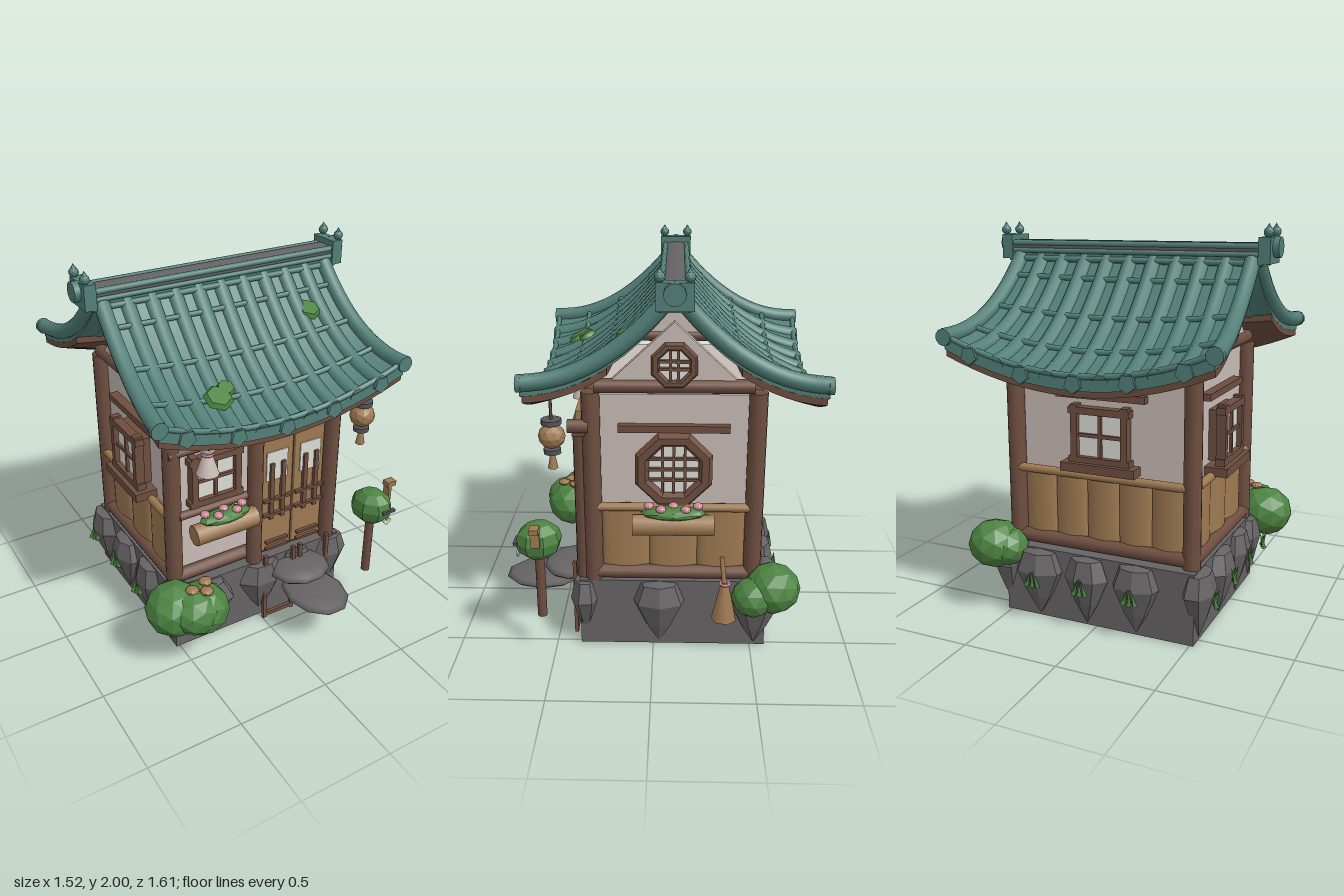
import * as THREE from 'three';

const mat = (name, color) => new THREE.MeshStandardMaterial({ name, color, side: THREE.DoubleSide });
const tile = mat('teal tile', 0x527f77), wood = mat('dark wood', 0x6e4e40), tan = mat('light wood', 0x9e7a52),
  plaster = mat('plaster', 0xc9bcb6), stone = mat('stone', 0x666364), leaf = mat('leaf green', 0x4c8341),
  pink = mat('pink', 0xd08a96), pale = mat('pale glass', 0xdcdcd6), metal = mat('dark metal', 0x55555a);

// Flat-sided version of a geometry
function facet(geo) {
  const g = geo.index ? geo.toNonIndexed() : geo;
  g.computeVertexNormals();
  return g;
}
function add(parent, name, geo, material, x = 0, y = 0, z = 0, rx = 0, ry = 0, rz = 0) {
  const m = new THREE.Mesh(geo, material);
  m.name = name;
  m.position.set(x, y, z);
  m.rotation.set(rx, ry, rz);
  parent.add(m);
  return m;
}
const box = (p, name, m, w, h, d, x, y, z, rz = 0) => add(p, name, new THREE.BoxGeometry(w, h, d), m, x, y, z, 0, 0, rz);
const ball = (p, name, m, r, x, y, z, sy = 1) => {
  const b = add(p, name, facet(new THREE.IcosahedronGeometry(r, 1)), m, x, y, z);
  b.scale.y = sy;
  return b;
};
const cyl = (p, name, m, r0, r1, h, x, y, z, n = 12, rx = 0, rz = 0) =>
  add(p, name, new THREE.CylinderGeometry(r0, r1, h, n), m, x, y, z, rx, 0, rz);
const beam = (p, name, m, r, len, x, y, z) => cyl(p, name, m, r, r, len, x, y, z, 12, 0, Math.PI / 2);
function group(parent, name, x = 0, y = 0, z = 0, ry = 0) {
  const g = new THREE.Group();
  g.name = name;
  g.position.set(x, y, z);
  g.rotation.y = ry;
  parent.add(g);
  return g;
}

// Roof surface: u runs along the ridge (-1..1), s from ridge to eave (0..1)
function roofPoint(u, s, lift = 0) {
  const y = 1.462 + 0.385 * (1 - s) ** 2.1 - 0.15 * s ** 1.5 * (1 - u * u);
  return new THREE.Vector3(u * (0.635 + 0.045 * s * s), y + lift, 0.02 + 0.655 * s + 0.022 * s * u * u);
}
function roofSlab(top, bottom, s0, s1) {
  const g = new THREE.BoxGeometry(2, 1, 1, 20, 1, 10), p = g.attributes.position;
  for (let i = 0; i < p.count; i++) {
    const v = roofPoint(p.getX(i), s0 + (p.getZ(i) + 0.5) * (s1 - s0), p.getY(i) > 0 ? top : bottom);
    p.setXYZ(i, v.x, v.y, v.z);
  }
  g.computeVertexNormals();
  return g;
}
function roofTube(f, n, r, sides) {
  const pts = Array.from({ length: n + 1 }, (_, i) => f(i / n));
  return new THREE.TubeGeometry(new THREE.CatmullRomCurve3(pts), n * 2, r, sides);
}
function roofSlope(parent, name, ry) {
  const g = group(parent, name, 0, 0, -0.1, ry);
  add(g, 'tileBed', roofSlab(0, -0.055, 0, 1), tile);
  add(g, 'roofBoards', roofSlab(-0.055, -0.088, 0.42, 0.985), wood);
  for (let i = -4; i <= 4; i++) {
    const u = i / 5;
    add(g, 'tileRib', roofTube(s => roofPoint(u, s, -0.014), 8, 0.041, 10), tile);
    if (i % 2 === 0)
      add(g, 'ribCap', new THREE.CylinderGeometry(0.045, 0.045, 0.03, 5), tile, ...roofPoint(u, 1, -0.022).toArray(), Math.PI / 2, 0, 0);
  }
  for (const s of [0.18, 0.44, 0.72, 0.99])
    add(g, 'tileRow', roofTube(t => roofPoint(t * 2 - 1, s, 0.012), 12, 0.014, 8), tile);
  for (const u of [-1, 1]) {
    add(g, 'vergeTile', roofTube(s => roofPoint(u, s, 0.008), 8, 0.04, 10), tile);
    add(g, 'vergeEnd', new THREE.CylinderGeometry(0.042, 0.042, 0.025, 10), tile, ...roofPoint(u, 1, 0.005).toArray(), Math.PI / 2);
  }
}

// Square window with glass, frame and crossbars, facing local +z
function squareWindow(p, x, y, z, w, h) {
  const g = group(p, 'window', x, y, z);
  box(g, 'glass', pale, w, h, 0.008, 0, 0, 0.004);
  for (const s of [-1, 1]) {
    box(g, 'frameSide', wood, 0.035, h + 0.06, 0.05, s * w / 2, 0, 0.01);
    box(g, 'frameRail', wood, w + 0.06, 0.035, 0.05, 0, s * h / 2, 0.01);
  }
  box(g, 'mullion', wood, 0.018, h, 0.025, 0, 0, 0.01);
  box(g, 'crossbar', wood, w, 0.018, 0.025, 0, 0, 0.01);
}
// Octagonal window with lattice
function octWindow(p, x, y, z, r, bars) {
  const g = group(p, 'octagonWindow', x, y, z);
  add(g, 'glass', new THREE.CircleGeometry(r, 8), pale, 0, 0, 0.006, 0, 0, Math.PI / 8);
  add(g, 'ring', facet(new THREE.TorusGeometry(r, r * 0.22, 6, 8)), wood, 0, 0, 0.015, 0, 0, Math.PI / 8);
  for (const o of bars) {
    box(g, 'latticeBar', wood, 0.014, r * 1.8, 0.02, o, 0, 0.014);
    box(g, 'latticeBar', wood, r * 1.8, 0.014, 0.02, 0, o, 0.014);
  }
}
function planter(p, x, y, z, w) {
  const g = group(p, 'planter', x, y, z);
  cyl(g, 'trough', tan, 0.055, 0.055, w, 0, 0, 0, 8, 0, Math.PI / 2);
  const h = ball(g, 'foliage', leaf, 0.06, 0, 0.065, 0, 0.55);
  h.scale.x = w * 0.4 / 0.06;
  for (let i = 0; i < 5; i++) ball(g, 'flower', pink, 0.026, (i - 2) * w * 0.15, 0.095, i % 2 ? 0.025 : -0.015, 0.7);
}
// Slightly bowed boards below a rail
function lowerPanels(p, width, n, z) {
  const w = width / n;
  for (let i = 0; i < n; i++) {
    const c = add(p, 'lowerPanel', new THREE.CylinderGeometry(w / 2, w / 2, 0.34, 10, 1, false, -Math.PI / 2, Math.PI), tan,
      (i - (n - 1) / 2) * w, 0.605, z);
    c.scale.z = 0.035 / (w / 2);
  }
  beam(p, 'panelRail', tan, 0.022, width + 0.06, 0, 0.775, z + 0.035);
}
function bush(p, x, y, z, blobs) {
  const g = group(p, 'bush', x, y, z);
  for (const [bx, by, bz, r] of blobs) ball(g, 'bushClump', leaf, r, bx, by, bz, 0.9);
  return g;
}

export function createModel() {
  const root = new THREE.Group();
  root.name = 'cottage';

  // Stone base with pointed boulders set around it: x, z, radius
  const base = group(root, 'stoneBase', 0, 0, -0.1);
  box(base, 'foundation', stone, 1.04, 0.37, 0.95, 0, 0.187, 0);
  const profile = [[0.02, 0.02], [0.5, 0.12], [1, 0.26], [0.7, 0.36], [0, 0.37]].map(([r, y]) => new THREE.Vector2(r, y));
  const rocks = [[-0.37, 0.46, 0.21], [0.01, 0.46, 0.14], [0.24, 0.45, 0.12], [0.47, 0.45, 0.12], [0.52, 0.07, 0.14],
    [0.52, -0.42, 0.13], [0.32, -0.48, 0.14], [0.05, -0.48, 0.12], [-0.22, -0.48, 0.13], [-0.52, -0.4, 0.13], [-0.52, -0.1, 0.13],
    [-0.52, 0.18, 0.12], [-0.52, 0.42, 0.1]];
  rocks.forEach(([x, z, r], i) => {
    const side = Math.abs(x) > 0.5;
    const m = add(base, 'boulder', facet(new THREE.LatheGeometry(profile, 7).rotateY(i * 1.3)), stone, x, 0, z);
    m.scale.set(side ? r * 0.65 : r, 1, side ? r : r * 0.65);
    if (z < -0.45 || x < -0.5) for (const k of [-1, 0, 1])
      cyl(base, 'grass', leaf, 0, 0.014, 0.09, x + (side ? -0.085 : k * 0.02), 0.24, z + (side ? k * 0.02 : -0.085), 4, 0, k * 0.3);
  });

  // Walls, corner posts and gables
  const house = group(root, 'house', 0, 0, -0.1);
  box(house, 'walls', plaster, 0.92, 0.95, 0.76, 0, 0.875, 0);
  for (const x of [-0.48, 0.48]) {
    for (const z of [-0.4, 0.4]) cyl(house, 'cornerPost', wood, 0.045, 0.045, 1.0, x, 0.87, z);
    const gable = new THREE.Shape([new THREE.Vector2(-0.34, 1.39), new THREE.Vector2(0.34, 1.39), new THREE.Vector2(0, 1.71)]);
    add(house, 'gable', new THREE.ExtrudeGeometry(gable, { depth: 0.04, bevelEnabled: false }), plaster, x - 0.02, 0, 0, 0, Math.PI / 2);
  }
  const front = group(house, 'frontFace', 0, 0, 0.38), back = group(house, 'backFace', 0, 0, -0.38, Math.PI);
  const right = group(house, 'rightFace', 0.46, 0, 0, Math.PI / 2), left = group(house, 'leftFace', -0.46, 0, 0, -Math.PI / 2);
  for (const [f, w] of [[front, 0.92], [back, 0.92], [right, 0.76], [left, 0.76]]) {
    beam(f, 'floorBeam', wood, 0.036, w, 0, 0.41, 0.025);
    beam(f, 'topBeam', wood, 0.036, w, 0, w > 0.9 ? 1.33 : 1.4, 0.025);
  }

  // Side and back faces
  lowerPanels(right, 0.72, 3, 0);
  octWindow(right, 0, 0.98, 0.025, 0.167, [-0.055, 0, 0.055]);
  box(right, 'lintel', wood, 0.54, 0.035, 0.04, 0, 1.185, 0.02);
  planter(right, 0, 0.71, 0.1, 0.4);
  lowerPanels(left, 0.72, 3, 0);
  squareWindow(left, 0, 0.97, 0.06, 0.26, 0.26);
  box(left, 'windowSurround', wood, 0.26, 0.26, 0.06, 0, 0.97, 0.03);
  box(left, 'lintel', wood, 0.5, 0.035, 0.05, 0, 1.185, 0.025);
  box(left, 'sill', wood, 0.38, 0.045, 0.12, 0, 0.8, 0.06);
  lowerPanels(back, 0.88, 5, 0);
  squareWindow(back, 0, 0.98, 0.02, 0.27, 0.25);
  box(back, 'lintel', wood, 0.48, 0.035, 0.04, 0, 1.18, 0.02);
  box(back, 'sill', wood, 0.4, 0.045, 0.08, 0, 0.82, 0.04);
  for (const f of [right, left]) octWindow(f, 0, 1.51, 0.045, 0.096, [-0.018, 0.018]);

  // Front window, sill and flower box
  squareWindow(front, -0.24, 0.95, 0.02, 0.25, 0.24);
  beam(front, 'windowLintel', wood, 0.024, 0.46, -0.28, 1.15, 0.04);
  beam(front, 'windowSill', wood, 0.022, 0.42, -0.25, 0.79, 0.05);
  planter(front, -0.24, 0.71, 0.13, 0.36);

  // Double door with lattice and the frame below it
  const door = group(front, 'door', 0.215, 0, 0.05);
  box(door, 'doorHeader', wood, 0.6, 0.065, 0.08, 0, 1.185, 0.02);
  box(door, 'transom', tan, 0.5, 0.06, 0.05, 0, 1.235, 0.02);
  for (const s of [-1, 1]) {
    cyl(door, 'doorPost', wood, 0.042, 0.042, 0.8, s * 0.24, 0.77, 0.02);
    box(door, 'doorLeaf', tan, 0.188, 0.75, 0.03, s * 0.098, 0.78, 0);
    box(door, 'doorGlass', pale, 0.13, 0.17, 0.006, s * 0.105, 0.93, 0.018);
    for (const o of [-1, 1]) {
      box(door, 'doorSlat', wood, 0.024, 0.34, 0.02, s * 0.105 + o * 0.035, 0.78, 0.025);
      box(door, 'stepFrameLeg', wood, 0.022, 0.42, 0.02, s * 0.112 + o * 0.09, 0.21, 0.08);
    }
    for (const y of [0.64, 0.73]) box(door, 'doorRail', wood, 0.18, 0.016, 0.02, s * 0.1, y, 0.028);
    for (const y of [0.42, 0.46]) box(door, 'kickRail', wood, 0.14, 0.014, 0.02, s * 0.1, y, 0.028);
    box(door, 'stepFrameRail', wood, 0.2, 0.022, 0.02, s * 0.112, 0.02, 0.08);
  }
  box(door, 'doorSeam', wood, 0.014, 0.75, 0.036, 0, 0.78, 0.002);

  // Roof slopes and ridge
  roofSlope(root, 'frontRoof', 0);
  roofSlope(root, 'backRoof', Math.PI);
  const ridge = group(root, 'ridge', 0, 0, -0.1);
  box(ridge, 'ridgeBase', tile, 1.36, 0.085, 0.13, 0, 1.835, 0);
  beam(ridge, 'ridgeCap', stone, 0.074, 1.38, 0, 1.873, 0).scale.x = 0.42;
  for (const s of [-1, 1]) {
    beam(ridge, 'ridgeTrim', tile, 0.016, 1.38, 0, 1.888, s * 0.06);
    beam(ridge, 'ridgeTrim', tile, 0.013, 1.38, 0, 1.85, s * 0.066);
    beam(ridge, 'ridgeTrim', tile, 0.015, 1.38, 0, 1.81, s * 0.068);
    box(ridge, 'ridgeEnd', tile, 0.06, 0.125, 0.17, s * 0.7, 1.87, 0);
    beam(ridge, 'ridgeDisc', tile, 0.05, 0.06, s * 0.73, 1.885, 0);
    for (const z of [-0.065, 0.065]) {
      ball(ridge, 'finial', tile, 0.025, s * 0.715, 1.955, z);
      cyl(ridge, 'finialTip', tile, 0, 0.018, 0.03, s * 0.715, 1.982, z, 6);
    }
  }
  // Moss on the tiles
  for (const [x, y, z, r] of [[0.43, 1.65, 0.12, 0.068], [-0.28, 1.45, 0.42, 0.075], [-0.22, 1.465, 0.38, 0.05]])
    add(root, 'moss', new THREE.CylinderGeometry(r * 0.8, r, 0.024, 6), leaf, x, y, z, 0.45);

  // Stepping stones
  for (const [name, y, z, rx, ry, rz] of [['lowerStep', 0.235, 0.6, 0.165, 0.035, 0.21], ['upperStep', 0.3, 0.45, 0.175, 0.04, 0.15]])
    add(root, name, new THREE.SphereGeometry(1, 10, 6), stone, 0.21, y, z).scale.set(rx, ry, rz);

  // Bushes and mushrooms
  const b1 = bush(root, -0.52, 0.36, 0.47, [[-0.05, 0, 0, 0.155], [0.07, -0.01, 0.05, 0.15], [0.02, 0.01, 0.08, 0.13]]);
  for (const [x, z] of [[0.02, 0.06], [0.08, 0.1], [0.11, 0.03]]) ball(b1, 'mushroom', tan, 0.035, x, 0.125, z, 0.5);
  bush(root, 0.57, 0.36, -0.57, [[0, 0.01, -0.03, 0.14], [0.04, -0.02, 0.07, 0.11], [-0.07, 0, -0.02, 0.11]]);

  // Rounded mailbox on a post
  const mail = group(root, 'mailbox', 0.59, 0, 0.56);
  cyl(mail, 'mailPost', wood, 0.024, 0.024, 0.36, 0, 0.39, 0);
  add(mail, 'mailBody', facet(new THREE.SphereGeometry(1, 8, 6)), leaf, 0, 0.637, 0, 0, Math.PI / 8).scale.set(0.098, 0.1, 0.118);
  box(mail, 'mailSlot', metal, 0.08, 0.016, 0.02, 0.03, 0.645, 0.105);
  for (const s of [-1, 1]) box(mail, 'heartHalf', pale, 0.02, 0.036, 0.008, 0.03 + s * 0.009, 0.58, 0.1, s * -0.7);
  box(mail, 'flagArm', tan, 0.018, 0.1, 0.045, 0.105, 0.7, 0);
  box(mail, 'flag', tan, 0.055, 0.028, 0.045, 0.115, 0.745, 0);

  // Hanging lantern
  const lamp = group(root, 'lantern', 0.54, 0, 0.48);
  cyl(lamp, 'lanternCord', wood, 0.008, 0.008, 0.14, 0, 1.3, 0, 5);
  ball(lamp, 'lanternBody', tan, 0.066, 0, 1.165, 0, 0.95);
  cyl(lamp, 'lanternCap', metal, 0.05, 0.05, 0.024, 0, 1.238, 0);
  cyl(lamp, 'lanternFoot', metal, 0.042, 0.042, 0.024, 0, 1.09, 0);
  cyl(lamp, 'tassel', tan, 0.012, 0.025, 0.07, 0, 1.035, 0, 6);
  cyl(lamp, 'lanternArm', wood, 0.035, 0.035, 0.1, -0.04, 1.2, -0.12, 8, Math.PI / 2);

  // Hanging cloth doll
  const doll = group(root, 'clothDoll', -0.35, 0, 0.43);
  ball(doll, 'dollHead', plaster, 0.046, 0, 1.215, 0);
  cyl(doll, 'dollSkirt', plaster, 0.022, 0.058, 0.11, 0, 1.12, 0);
  add(doll, 'dollRibbon', new THREE.TorusGeometry(0.026, 0.008, 5, 8), pink, 0, 1.172, 0, Math.PI / 2);
  for (const s of [-1, 1]) ball(doll, 'dollEye', metal, 0.008, s * 0.016, 1.222, 0.042);
  cyl(doll, 'dollString', wood, 0.005, 0.005, 0.12, 0, 1.31, 0, 5);

  // Broom leaning on the side wall
  const broom = group(root, 'broom', 0.585, 0, -0.36);
  cyl(broom, 'bristles', tan, 0.02, 0.065, 0.2, 0, 0.3, 0, 7);
  cyl(broom, 'broomHandle', tan, 0.012, 0.012, 0.16, -0.02, 0.45, 0.008, 6, 0.1, 0.2);
  add(broom, 'broomTie', new THREE.TorusGeometry(0.024, 0.008, 5, 8), pink, 0, 0.4, 0, Math.PI / 2);
  return root;
}
